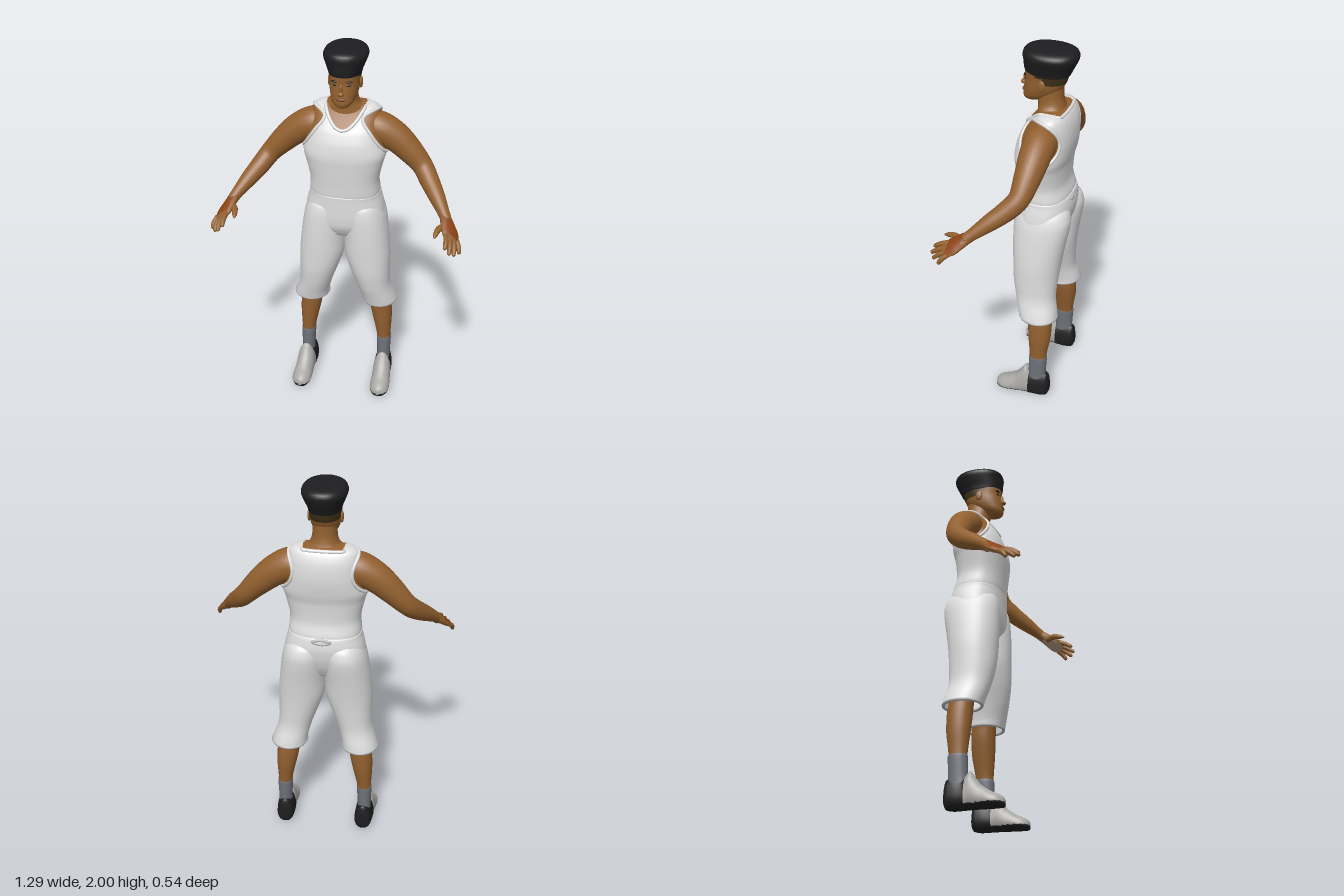
import * as THREE from 'three';

const material = (name, color, side = THREE.FrontSide) => {
  const m = new THREE.MeshStandardMaterial({ color, side });
  m.name = name;
  return m;
};

// Joins rings of points into a smooth surface; pick(centre, angle) chooses a material index
function skin(rings, { cap = true, pick = null } = {}) {
  const n = rings[0].length, pos = [], sets = [[], [], []];
  rings.flat().forEach(p => pos.push(p.x, p.y, p.z));
  for (let i = 0; i < rings.length - 1; i++) {
    for (let j = 0; j < n; j++) {
      const k = (j + 1) % n, a = i * n + j, b = i * n + k;
      const mid = rings[i][j].clone().add(rings[i + 1][k]).multiplyScalar(0.5);
      const set = sets[pick ? pick(mid, (j + 0.5) / n * Math.PI * 2) : 0];
      set.push(a, a + n, b, b, a + n, b + n);
    }
  }
  if (cap) [0, rings.length - 1].forEach((i, end) => {
    const mid = new THREE.Vector3();
    rings[i].forEach(p => mid.addScaledVector(p, 1 / n));
    const c = pos.length / 3;
    pos.push(mid.x, mid.y, mid.z);
    const set = sets[pick ? pick(mid, 0) : 0];
    for (let j = 0; j < n; j++) {
      const a = i * n + j, b = i * n + (j + 1) % n;
      end ? set.push(c, b, a) : set.push(c, a, b);
    }
  });
  const g = new THREE.BufferGeometry();
  g.setAttribute('position', new THREE.Float32BufferAttribute(pos, 3));
  g.setIndex(sets.flat());
  let start = 0;
  if (pick) sets.forEach((s, i) => { g.addGroup(start, s.length, i); start += s.length; });
  g.computeVertexNormals();
  return g;
}

// Smooth sampler for sections [y, centre x, half width, front z, back z]
function sampler(sections) {
  const A = new THREE.CatmullRomCurve3(sections.map(s => new THREE.Vector3(s[0], s[1], s[2])));
  const B = new THREE.CatmullRomCurve3(sections.map(s => new THREE.Vector3(s[3], s[4], 0)));
  return t => {
    const a = A.getPoint(t), b = B.getPoint(t);
    return { y: a.x, cx: a.y, rx: a.z, cz: (b.x + b.y) / 2, rz: (b.x - b.y) / 2 };
  };
}

// Upright body made of super-ellipse sections, listed from bottom to top
function loft(sections, { n = 40, sub = 4, p = 2.2, taper = 0, ...opts } = {}) {
  const f = sampler(sections), rows = (sections.length - 1) * sub, rings = [];
  const pw = v => Math.sign(v) * Math.abs(v) ** (2 / p);
  for (let i = 0; i <= rows; i++) {
    const s = f(i / rows);
    rings.push(Array.from({ length: n }, (_, j) => {
      const a = j / n * Math.PI * 2, w = pw(Math.sin(a));
      return new THREE.Vector3(s.cx + s.rx * pw(Math.cos(a)) * (1 + taper * w), s.y, s.cz + s.rz * w);
    }));
  }
  return skin(rings, opts);
}

// Limb along points [x, y, z, radius, flatness]; flattened along the back-of-hand direction
const handUp = new THREE.Vector3(0.56, 0.76, 0.32).normalize();
const handSide = new THREE.Vector3(0.82, -0.56, -0.13).normalize();
function limb(points, { n = 24, sub = 5, ...opts } = {}) {
  const path = new THREE.CatmullRomCurve3(points.map(q => new THREE.Vector3(q[0], q[1], q[2])));
  const size = new THREE.CatmullRomCurve3(points.map(q => new THREE.Vector3(q[3], q[4] ?? 1, 0)));
  const rows = (points.length - 1) * sub, rings = [];
  for (let i = 0; i <= rows; i++) {
    const c = path.getPoint(i / rows), T = path.getTangent(i / rows), s = size.getPoint(i / rows);
    const v = handUp.clone().addScaledVector(T, -T.dot(handUp)).normalize();
    const u = T.clone().cross(v);
    rings.push(Array.from({ length: n }, (_, j) => {
      const a = j / n * Math.PI * 2;
      return c.clone().addScaledVector(u, s.x * Math.cos(a)).addScaledVector(v, s.x * s.y * Math.sin(a));
    }));
  }
  return skin(rings, opts);
}

function mirror(geo) {
  const g = geo.clone().scale(-1, 1, 1), ix = g.index.array;
  for (let i = 0; i < ix.length; i += 3) [ix[i], ix[i + 1]] = [ix[i + 1], ix[i]];
  return g;
}

const ellipsoid = (x, y, z, a, b, c) => new THREE.SphereGeometry(1, 20, 14).scale(a, b, c).translate(x, y, z);
const cord = (pts, r, closed = true) =>
  new THREE.TubeGeometry(new THREE.CatmullRomCurve3(pts, closed), 72, r, 8, closed);

export function createModel() {
  const model = new THREE.Group();
  const brown = material('skin', 0x92602f), cloth = material('white cloth', 0xdededf, THREE.DoubleSide);
  const trim = material('grey trim', 0xb4b5b8), black = material('black', 0x1e1e20);
  const shoeGrey = material('shoe grey', 0xaaa8a5), sockGrey = material('sock grey', 0x6f727a);
  const hairBrown = material('hair', 0x3c2f17), rust = material('hand rust', 0x8c4314);
  const pale = material('palm', 0xb39a80), lip = material('lip', 0x754322);

  const add = (name, geo, mat) => {
    const m = new THREE.Mesh(geo, mat);
    m.name = name;
    model.add(m);
  };
  const pair = (name, geo, mat) => {
    add(name + 'Left', geo, mat);
    add(name + 'Right', mirror(geo), mat);
  };

  // Tank top, with skin showing through the neck and arm openings
  const torso = [
    [1.2, 0, 0.176, 0.008, -0.235], [1.225, 0, 0.183, 0.016, -0.245], [1.3, 0, 0.179, 0.022, -0.228],
    [1.4, 0, 0.2, 0.03, -0.233], [1.455, 0, 0.213, 0.032, -0.246], [1.52, 0, 0.2, 0.022, -0.256],
    [1.58, 0, 0.189, -0.002, -0.257], [1.63, 0, 0.18, -0.038, -0.25], [1.67, 0, 0.168, -0.076, -0.234],
    [1.686, 0, 0.15, -0.096, -0.22], [1.696, 0, 0.11, -0.112, -0.205], [1.7, 0, 0.06, -0.13, -0.18],
  ];
  const P = 2.5, f = sampler(torso);
  const at = y => {
    let lo = 0, hi = 1;
    for (let i = 0; i < 24; i++) { const m = (lo + hi) / 2; f(m).y < y ? lo = m : hi = m; }
    return f(lo);
  };
  const rest = v => Math.max(0, 1 - Math.abs(v) ** P) ** (1 / P);
  const neckY = (x, front) => front ? 1.592 + 9.4 * x * x : 1.686;
  const hole = { y: 1.565, z: -0.128, ry: 0.11, rz: 0.098 };
  const bare = c => {
    const neck = Math.abs(c.x) < 0.1 && c.y > neckY(c.x, c.z > -0.157);
    const arm = Math.abs(c.x) > 0.1 && ((c.y - hole.y) / hole.ry) ** 2 + ((c.z - hole.z) / hole.rz) ** 2 < 1;
    return neck || arm ? 1 : 0;
  };
  add('tankTop', loft(torso, { n: 112, sub: 6, p: P, pick: bare }), [cloth, brown, brown]);
  const loop = fn => Array.from({ length: 36 }, (_, i) => fn(i / 36 * Math.PI * 2));
  add('neckTrim', cord(loop(a => {
    const x = 0.1 * Math.sin(a), front = Math.cos(a) > 0, y = neckY(x, front), s = at(y);
    return new THREE.Vector3(x, y, s.cz + (front ? 1 : -1) * s.rz * rest(x / s.rx));
  }), 0.009), cloth);
  pair('armholeTrim', cord(loop(a => {
    const y = hole.y + hole.ry * Math.sin(a), z = hole.z + hole.rz * Math.cos(a), s = at(y);
    return new THREE.Vector3(s.rx * rest((z - s.cz) / s.rz), y, z);
  }), 0.009), cloth);

  // Shorts
  add('shortsWaist', loft([
    [0.98, 0, 0.15, -0.02, -0.2], [1.04, 0, 0.2, 0.012, -0.235], [1.1, 0, 0.209, 0.018, -0.255],
    [1.16, 0, 0.2, 0.018, -0.262], [1.205, 0, 0.188, 0.018, -0.256], [1.222, 0, 0.185, 0.018, -0.25],
    [1.226, 0, 0.17, 0.005, -0.235],
  ], { n: 56, p: 2.4 }), cloth);
  pair('shortsLeg', loft([
    [0.535, 0.19, 0.094, -0.04, -0.243], [0.57, 0.183, 0.091, -0.03, -0.238], [0.65, 0.16, 0.09, -0.008, -0.222],
    [0.75, 0.14, 0.106, 0.01, -0.227], [0.85, 0.124, 0.121, 0.016, -0.237], [0.95, 0.117, 0.119, 0.02, -0.252],
    [1.05, 0.108, 0.115, 0.02, -0.27], [1.1, 0.103, 0.11, 0.018, -0.275], [1.15, 0.097, 0.098, 0.01, -0.264],
    [1.19, 0.09, 0.075, -0.02, -0.23],
  ], { cap: false }), cloth);
  pair('shortsHem', cord(loop(a => new THREE.Vector3(0.19 + 0.09 * Math.cos(a), 0.537, -0.1415 + 0.097 * Math.sin(a))), 0.008), trim);
  add('waistTie', cord([[-0.045, 1.21], [0, 1.198], [0.045, 1.21], [0, 1.222]]
    .map(q => new THREE.Vector3(q[0], q[1], -0.258)), 0.007), trim);

  // Legs and socks
  pair('leg', loft([
    [0.24, 0.22, 0.035, -0.108, -0.195], [0.3, 0.216, 0.04, -0.104, -0.2], [0.4, 0.207, 0.053, -0.095, -0.215],
    [0.48, 0.197, 0.059, -0.09, -0.217], [0.56, 0.188, 0.058, -0.085, -0.21], [0.7, 0.16, 0.065, -0.06, -0.2],
  ], { n: 28 }), brown);
  pair('sock', loft([
    [0.08, 0.22, 0.036, -0.09, -0.198], [0.16, 0.22, 0.036, -0.1, -0.196], [0.26, 0.219, 0.04, -0.102, -0.201],
    [0.272, 0.219, 0.039, -0.104, -0.2],
  ], { n: 28 }), sockGrey);

  // Shoes: sections run heel to toe, then are tipped to lie flat
  pair('shoe', loft([
    [-0.216, 0.217, 0.018, -0.03, -0.11], [-0.205, 0.217, 0.038, -0.008, -0.152], [-0.17, 0.218, 0.046, 0, -0.162],
    [-0.12, 0.22, 0.048, 0, -0.152], [-0.085, 0.222, 0.048, 0, -0.186], [-0.06, 0.223, 0.049, 0, -0.155],
    [-0.03, 0.224, 0.05, 0, -0.115], [0.02, 0.226, 0.052, 0, -0.08], [0.055, 0.226, 0.046, 0, -0.064],
    [0.078, 0.225, 0.03, 0.0, -0.05], [0.087, 0.225, 0.01, -0.012, -0.035],
  ], { n: 48, sub: 6, p: 2.3, taper: 0.22, pick: c => (c.y < -0.11 || -c.z < 0.022 ? 1 : 0) })
    .rotateX(Math.PI / 2), [shoeGrey, black, black]);

  // Arms and hands
  pair('arm', limb([
    [0.1, 1.58, -0.135, 0.07], [0.17, 1.572, -0.135, 0.083], [0.25, 1.53, -0.135, 0.077],
    [0.33, 1.46, -0.13, 0.066], [0.4, 1.385, -0.115, 0.053], [0.44, 1.335, -0.07, 0.05],
    [0.49, 1.28, 0, 0.042], [0.54, 1.222, 0.075, 0.029], [0.555, 1.2, 0.1, 0.028],
  ]), brown);
  pair('palm', limb([
    [0.543, 1.218, 0.08, 0.028, 0.85], [0.565, 1.185, 0.125, 0.041, 0.55], [0.585, 1.155, 0.165, 0.045, 0.4],
    [0.597, 1.138, 0.19, 0.035, 0.38], [0.601, 1.132, 0.198, 0.006, 0.4],
  ], { pick: (c, a) => (Math.sin(a) < -0.4 ? 2 : Math.sin(a) > 0.5 && c.z > 0.105 && c.z < 0.18 ? 1 : 0) }),
  [brown, rust, pale]);
  const knuckle = new THREE.Vector3(0.588, 1.152, 0.172);
  [[0.565, 1.13, 0.26], [0.588, 1.105, 0.267], [0.61, 1.09, 0.249], [0.634, 1.083, 0.211]].forEach((tip, i) => {
    const end = new THREE.Vector3(...tip), base = knuckle.clone().addScaledVector(handSide, (i - 1.5) * 0.022);
    const mid = base.clone().lerp(end, 0.55).addScaledVector(handUp, 0.006), near = mid.clone().lerp(end, 0.85);
    pair('finger' + (i + 1), limb([[...base, 0.013], [...mid, 0.0125], [...near, 0.0095], [...end, 0.002]], { n: 12, sub: 3 }), brown);
  });
  pair('thumb', limb([[0.55, 1.185, 0.12, 0.018], [0.522, 1.187, 0.165, 0.016], [0.512, 1.177, 0.205, 0.012],
    [0.508, 1.17, 0.228, 0.003]], { n: 12, sub: 3 }), brown);

  // Neck and head, with hair at the back
  add('neck', loft([[1.62, 0, 0.1, -0.06, -0.21], [1.68, 0, 0.094, -0.068, -0.208], [1.71, 0, 0.069, -0.066, -0.198],
    [1.75, 0, 0.06, -0.058, -0.19], [1.82, 0, 0.06, -0.05, -0.19]]), brown);
  add('head', loft([
    [1.716, 0, 0.02, -0.005, -0.05], [1.725, 0, 0.038, 0.007, -0.085], [1.745, 0, 0.055, 0.013, -0.125],
    [1.77, 0, 0.066, 0.01, -0.165], [1.8, 0, 0.073, 0.006, -0.19], [1.84, 0, 0.077, 0.001, -0.208],
    [1.88, 0, 0.08, 0.003, -0.215], [1.92, 0, 0.079, -0.005, -0.214],
  ], { n: 64, sub: 6, pick: c => (c.z < -0.1 && c.y > 1.825 || c.z < -0.07 && c.y > 1.86 ? 1 : 0) }),
  [brown, hairBrown, hairBrown]);
  add('nose', ellipsoid(0, 1.797, 0.012, 0.016, 0.012, 0.016), brown);
  add('noseBridge', ellipsoid(0, 1.818, 0.005, 0.009, 0.028, 0.011), brown);
  add('lips', ellipsoid(0, 1.766, 0.009, 0.026, 0.008, 0.008), lip);
  pair('ear', ellipsoid(0.079, 1.822, -0.105, 0.009, 0.03, 0.019), brown);
  pair('eye', ellipsoid(0.031, 1.836, -0.007, 0.014, 0.006, 0.006).rotateY(0.08), black);
  pair('brow', ellipsoid(0.034, 1.855, -0.005, 0.021, 0.005, 0.007).rotateY(0.08), black);

  // Soft cap
  add('cap', loft([
    [1.868, 0, 0.08, 0.0, -0.222], [1.89, 0, 0.086, 0.007, -0.232], [1.93, 0, 0.102, 0.009, -0.252],
    [1.96, 0, 0.111, 0.012, -0.262], [1.98, 0, 0.104, 0.007, -0.256], [1.993, 0, 0.084, -0.012, -0.235],
    [2.0, 0, 0.045, -0.05, -0.19],
  ], { n: 48 }), black);

  return model;
}
